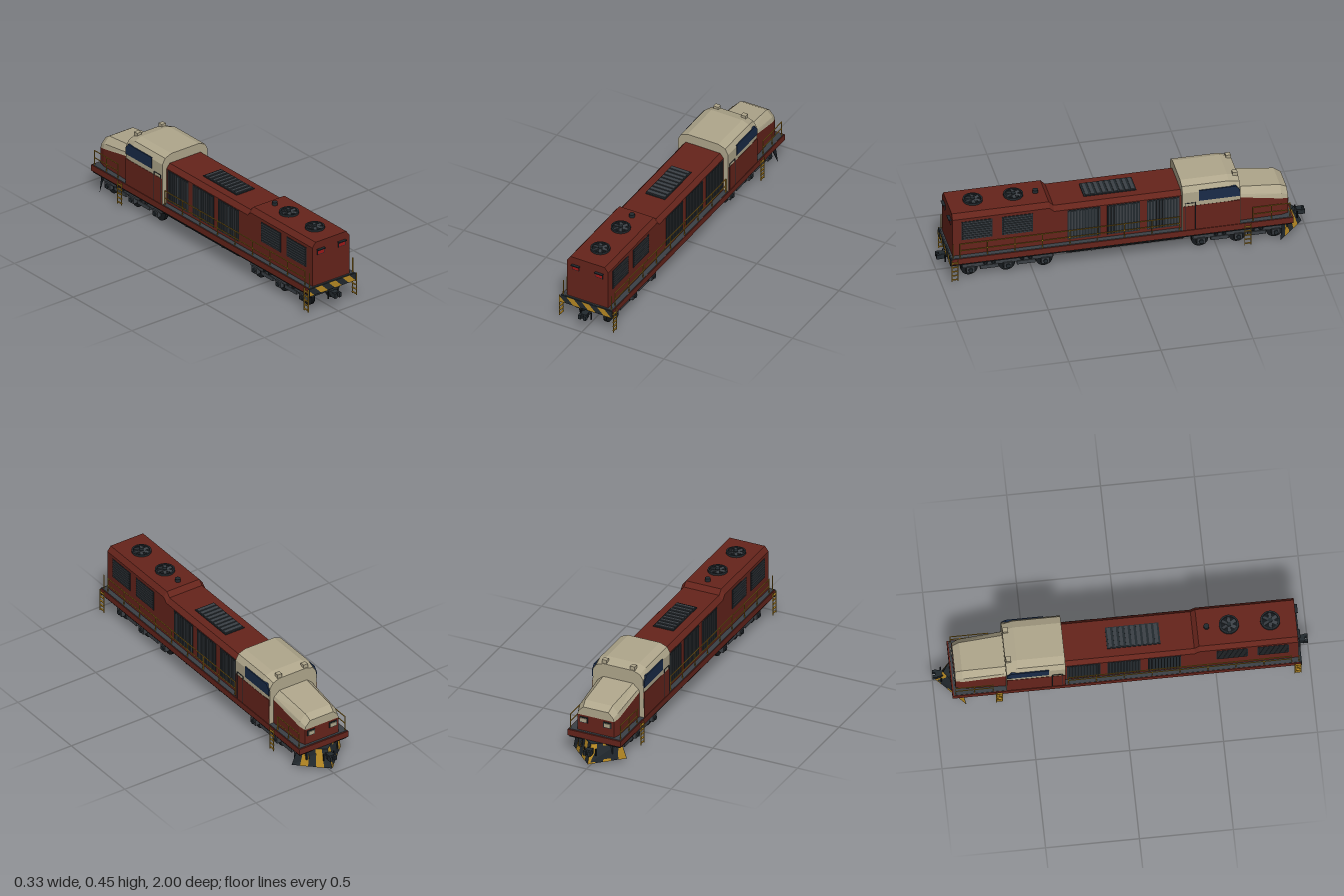
import * as THREE from 'three';

const mat = (color, extra = {}) => {
  const m = new THREE.MeshStandardMaterial({ flatShading: true, ...extra });
  m.color.set(color);
  return m;
};
const RED = mat(0x66241b), BEIGE = mat(0xb0a78c), GOLD = mat(0xb88a24), DARK = mat(0x22292e);
const BLACK = mat(0x15191c), GREY = mat(0x3b4045), GLASS = mat(0x192b48), LAMP = mat(0xa01818);
const THIN = mat(0x22292e, { side: THREE.DoubleSide });

function add(parent, name, geo, m, x = 0, y = 0, z = 0) {
  const mesh = new THREE.Mesh(geo, m);
  mesh.name = name;
  mesh.position.set(x, y, z);
  parent.add(mesh);
  return mesh;
}
// box given by its min and max on each axis
function box(parent, name, m, x0, x1, y0, y1, z0, z1) {
  return add(parent, name, new THREE.BoxGeometry(x1 - x0, y1 - y0, z1 - z0), m,
    (x0 + x1) / 2, (y0 + y1) / 2, (z0 + z1) / 2);
}
// box on side s, with x measured outward
function sideBox(parent, name, m, s, x0, x1, ...rest) {
  return box(parent, name, m, s > 0 ? x0 : -x1, s > 0 ? x1 : -x0, ...rest);
}
function cyl(parent, name, m, r, h, x, y, z, n = 16) {
  return add(parent, name, new THREE.CylinderGeometry(r, r, h, n), m, x, y, z);
}
function group(parent, name, z = 0) {
  const g = new THREE.Group();
  g.name = name;
  g.position.z = z;
  parent.add(g);
  return g;
}
function facets(points) {
  const g = new THREE.BufferGeometry();
  g.setAttribute('position', new THREE.Float32BufferAttribute(points.flat(), 3));
  g.computeVertexNormals();
  return g;
}
const quad = (a, b, c, d) => [a, b, c, a, c, d];
// mirrored cross-sections [z, [x, y]...] listed bottom to top, from front to back
function loft(parent, name, m, sections) {
  const rings = sections.map(([z, ...half]) =>
    [...half, ...half.slice().reverse().map(([x, y]) => [-x, y])].map(([x, y]) => [x, y, z]));
  const n = rings[0].length, pts = [];
  for (let k = 0; k + 1 < rings.length; k++)
    for (let i = 0; i < n; i++) {
      const j = (i + 1) % n, a = rings[k], b = rings[k + 1];
      pts.push(...quad(a[i], b[i], b[j], a[j]));
    }
  const first = rings[0], last = rings[rings.length - 1];
  for (let i = 1; i + 1 < n; i++)
    pts.push(first[0], first[i], first[i + 1], last[0], last[i + 1], last[i]);
  return add(parent, name, facets(pts), m);
}

// side grille with horizontal or vertical slats
function grille(parent, s, z0, z1, y0, y1, vertical) {
  const g = group(parent, 'sideGrille');
  sideBox(g, 'grillePanel', DARK, s, 0.12, 0.127, y0, y1, z0, z1);
  const n = vertical ? 11 : 8;
  for (let i = 0; i < n; i++) {
    const t = (i + 0.3) / n, u = (i + 0.7) / n;
    if (vertical) sideBox(g, 'slat', GREY, s, 0.126, 0.13, y0 + 0.006, y1 - 0.006, z0 + (z1 - z0) * t, z0 + (z1 - z0) * u);
    else sideBox(g, 'slat', GREY, s, 0.126, 0.13, y0 + (y1 - y0) * t, y0 + (y1 - y0) * u, z0 + 0.006, z1 - 0.006);
  }
}

function fan(parent, z) {
  const g = group(parent, 'roofFan', z);
  cyl(g, 'fanFloor', BLACK, 0.05, 0.006, 0, 0.418, 0, 24);
  const ring = [[0.044, 0.416], [0.053, 0.416], [0.053, 0.428], [0.044, 0.428], [0.044, 0.416]];
  add(g, 'fanRing', new THREE.LatheGeometry(ring.map(p => new THREE.Vector2(...p)), 24), THIN);
  for (let i = 0; i < 6; i++) {
    const blade = add(g, 'fanBlade', new THREE.BoxGeometry(0.03, 0.003, 0.016), GREY);
    const a = i * Math.PI / 3;
    blade.position.set(Math.cos(a) * 0.026, 0.424, Math.sin(a) * 0.026);
    blade.rotation.set(0.3, -a, 0, 'YXZ');
  }
  cyl(g, 'fanHub', DARK, 0.012, 0.014, 0, 0.424, 0, 12);
}

function railing(parent, s, z0, z1, posts) {
  const g = group(parent, 'railing');
  for (const y of [0.2, 0.242]) sideBox(g, 'handrail', GOLD, s, 0.145, 0.149, y, y + 0.004, z0, z1);
  for (let i = 0; i < posts; i++) {
    const z = z0 + (z1 - z0) * i / (posts - 1);
    sideBox(g, 'railPost', GOLD, s, 0.145, 0.149, 0.158, 0.246, z - 0.002, z + 0.002);
  }
}

function ladder(parent, s, z) {
  const g = group(parent, 'ladder', z);
  for (const e of [-0.017, 0.017]) sideBox(g, 'ladderStile', GOLD, s, 0.161, 0.165, 0.022, 0.155, e - 0.002, e + 0.002);
  for (let i = 0; i < 5; i++) sideBox(g, 'rung', GOLD, s, 0.157, 0.165, 0.03 + i * 0.026, 0.034 + i * 0.026, -0.017, 0.017);
}

function bogie(parent, z) {
  const g = group(parent, 'bogie', z);
  for (const w of [-0.203, 0, 0.203]) {
    cyl(g, 'axle', DARK, 0.01, 0.2, 0, 0.046, w, 10).rotation.z = Math.PI / 2;
    for (const s of [-1, 1]) {
      cyl(g, 'wheel', BLACK, 0.046, 0.015, s * 0.075, 0.046, w, 24).rotation.z = Math.PI / 2;
      cyl(g, 'flange', BLACK, 0.048, 0.004, s * 0.067, 0.048, w, 24).rotation.z = Math.PI / 2;
      sideBox(g, 'axleBox', GREY, s, 0.092, 0.117, 0.033, 0.068, w - 0.022, w + 0.022);
      cyl(g, 'bearingCap', DARK, 0.012, 0.008, s * 0.12, 0.05, w, 12).rotation.z = Math.PI / 2;
    }
  }
  for (const s of [-1, 1]) {
    sideBox(g, 'sideFrame', GREY, s, 0.09, 0.108, 0.062, 0.092, -0.245, 0.245);
    for (const w of [-0.1, 0.1]) {
      sideBox(g, 'frameDrop', GREY, s, 0.092, 0.112, 0.045, 0.066, w - 0.05, w + 0.05);
      for (const d of [-0.022, 0.022]) cyl(g, 'spring', DARK, 0.011, 0.03, s * 0.108, 0.09, w + d, 10);
    }
  }
  for (const w of [-0.24, -0.1, 0.1, 0.24]) box(g, 'crossBeam', DARK, -0.1, 0.1, 0.062, 0.085, w - 0.01, w + 0.01);
  box(g, 'bolster', BLACK, -0.06, 0.06, 0.08, 0.12, -0.14, 0.14);
}

function coupler(parent, e) {
  const g = group(parent, 'coupler');
  if (e < 0) g.rotation.y = Math.PI;
  box(g, 'drawbar', DARK, -0.014, 0.014, 0.08, 0.102, 0.86, 0.97);
  box(g, 'couplerHead', DARK, -0.018, 0.018, 0.076, 0.106, 0.955, 0.985);
  for (const s of [-1, 1]) sideBox(g, 'knuckle', DARK, s, 0.007, 0.022, 0.078, 0.104, 0.975, 1);
  for (const s of [-1, 1]) add(g, 'brakeHose', new THREE.CylinderGeometry(0.004, 0.004, 0.04, 8), BLACK, s * 0.032, 0.085, 0.955);
}

export function createModel() {
  const loco = new THREE.Group();
  loco.name = 'locomotive';

  // deck and underframe
  box(loco, 'deck', RED, -0.157, 0.157, 0.122, 0.157, -0.908, 0.948);
  box(loco, 'underframe', BLACK, -0.15, 0.15, 0.112, 0.122, -0.9, 0.945);
  box(loco, 'walkway', GREY, -0.153, 0.153, 0.157, 0.16, -0.9, 0.945);
  box(loco, 'bumper', DARK, -0.157, 0.157, 0.115, 0.158, 0.945, 0.953);
  for (let i = 0; i < 4; i++) {
    const top = -0.214 + i * 0.093, lean = 0.043;
    const pts = i ? [[top, 0.158], [top + lean, 0.115], [top + lean + 0.046, 0.115], [top + 0.046, 0.158]]
      : [[-0.157, 0.147], [-0.157, 0.115], [-0.125, 0.115]];
    add(loco, 'bumperStripe', new THREE.ShapeGeometry(new THREE.Shape(pts.map(p => new THREE.Vector2(...p)))), GOLD, 0, 0, 0.9545);
  }

  // long hood, taller towards the front
  const tall = [[0.125, 0.158], [0.125, 0.388], [0.104, 0.416]], low = [[0.125, 0.158], [0.125, 0.364], [0.104, 0.39]];
  loft(loco, 'longHood', RED, [[0.937, ...tall], [0.41, ...tall], [0.385, ...low], [-0.31, ...low]]);
  fan(loco, 0.58);
  fan(loco, 0.8);
  cyl(loco, 'exhaust', DARK, 0.015, 0.02, 0, 0.424, 0.46, 12);
  box(loco, 'roofGrille', DARK, -0.06, 0.06, 0.388, 0.395, -0.075, 0.21);
  for (let i = 0; i < 9; i++) box(loco, 'roofSlat', GREY, -0.055, 0.055, 0.394, 0.399, -0.066 + i * 0.031, -0.048 + i * 0.031);
  for (const s of [-1, 1]) {
    sideBox(loco, 'tailLampFrame', DARK, s, 0.048, 0.094, 0.339, 0.37, 0.935, 0.941);
    sideBox(loco, 'tailLamp', LAMP, s, 0.051, 0.091, 0.343, 0.362, 0.94, 0.943);
    sideBox(loco, 'tailLampHood', DARK, s, 0.046, 0.096, 0.367, 0.372, 0.935, 0.952);
    for (const z of [0.72, 0.5]) grille(loco, s, z, z + 0.168, 0.255, 0.37, false);
    for (const z of [-0.295, -0.08, 0.135]) grille(loco, s, z, z + 0.177, 0.175, 0.36, true);
  }

  // cab
  const cab = [[0.153, 0.158], [0.153, 0.395], [0.135, 0.428], [0.093, 0.444]];
  loft(loco, 'cab', BEIGE, [[-0.305, ...cab], [-0.56, ...cab],
    [-0.62, [0.153, 0.158], [0.148, 0.385], [0.128, 0.413], [0.088, 0.428]]]);
  const pane = [[0.395, 0.337], [0.617, 0.337], [0.617, 0.375], [0.595, 0.402], [0.395, 0.402]];
  const paneGeo = new THREE.ExtrudeGeometry(new THREE.Shape(pane.map(p => new THREE.Vector2(...p))), { depth: 0.012, bevelEnabled: false });
  for (const s of [-1, 1]) {
    sideBox(loco, 'cabSidePanel', RED, s, 0.14, 0.1545, 0.158, 0.31, -0.618, -0.307);
    add(loco, 'cabWindow', paneGeo, GLASS, s > 0 ? 0.143 : -0.155).rotation.y = Math.PI / 2;
    for (const z of [-0.377, -0.322]) sideBox(loco, 'doorFrame', DARK, s, 0.15, 0.156, 0.16, 0.33, z, z + 0.003);
    sideBox(loco, 'doorFrame', DARK, s, 0.15, 0.156, 0.327, 0.33, -0.377, -0.32);
    sideBox(loco, 'roofLamp', BEIGE, s, 0.069, 0.097, 0.425, 0.45, -0.617, -0.59);
  }

  // short hood
  loft(loco, 'noseLower', RED, [[-0.615, [0.127, 0.158], [0.127, 0.308]], [-0.85, [0.12, 0.158], [0.12, 0.262]],
    [-0.888, [0.108, 0.158], [0.108, 0.253]]]);
  loft(loco, 'noseUpper', BEIGE, [[-0.615, [0.127, 0.308], [0.12, 0.325], [0.088, 0.352]],
    [-0.85, [0.12, 0.262], [0.113, 0.29], [0.08, 0.326]], [-0.888, [0.108, 0.253], [0.103, 0.272], [0.074, 0.302]]]);
  for (const s of [-1, 1]) {
    sideBox(loco, 'headlampFrame', DARK, s, 0.046, 0.094, 0.21, 0.243, -0.892, -0.886);
    sideBox(loco, 'headlamp', BEIGE, s, 0.051, 0.089, 0.215, 0.237, -0.896, -0.89);
  }

  // plough: a leaning V with stripes
  const at = (u, top, out = 0) => top
    ? [0.132 * u, 0.122, -0.942 + 0.092 * Math.abs(u) - out]
    : [0.157 * u, 0.021, -0.985 + 0.15 * Math.abs(u) - out];
  const strip = (a, b, out) => quad(at(b, false, out), at(a, false, out), at(a, true, out), at(b, true, out));
  add(loco, 'plough', facets([...strip(-1, 0, 0), ...strip(0, 1, 0)]), THIN);
  for (let i = 0; i < 5; i++) {
    const a = -1 + i * 0.4, b = a + 0.2;
    const c = a + 0.2 > 0 && a < 0 ? 0 : b;
    add(loco, 'ploughStripe', facets([...strip(a, c, 0.002), ...(c < b ? strip(c, b, 0.002) : [])]), GOLD);
  }
  add(loco, 'ploughTop', facets(quad(at(-1, true), at(1, true), at(0, true), at(0, true))), THIN);
  for (const s of [-1, 1]) sideBox(loco, 'ploughBracket', DARK, s, 0.08, 0.1, 0.06, 0.12, -0.89, -0.86);

  // fuel tank with straps
  const tank = (w, b) => [[w * 0.72, b], [w, b + 0.025], [w, 0.118]];
  loft(loco, 'fuelTank', BLACK, [[0.345, ...tank(0.125, 0.09)], [0.31, ...tank(0.137, 0.072)],
    [-0.31, ...tank(0.137, 0.072)], [-0.345, ...tank(0.125, 0.09)]]);
  for (const z of [0.18, -0.13]) loft(loco, 'tankStrap', GREY, [[z + 0.005, ...tank(0.139, 0.07)], [z - 0.005, ...tank(0.139, 0.07)]]);

  // running gear, rails and ladders
  for (const z of [0.633, -0.618]) bogie(loco, z);
  for (const e of [-1, 1]) coupler(loco, e);
  for (const s of [-1, 1]) {
    railing(loco, s, -0.29, 0.9, 9);
    railing(loco, s, -0.89, -0.69, 3);
    sideBox(loco, 'endPost', GOLD, s, 0.145, 0.149, 0.158, 0.246, 0.936, 0.94);
    for (const z of [0.932, -0.658]) ladder(loco, s, z);
  }
  return loco;
}
